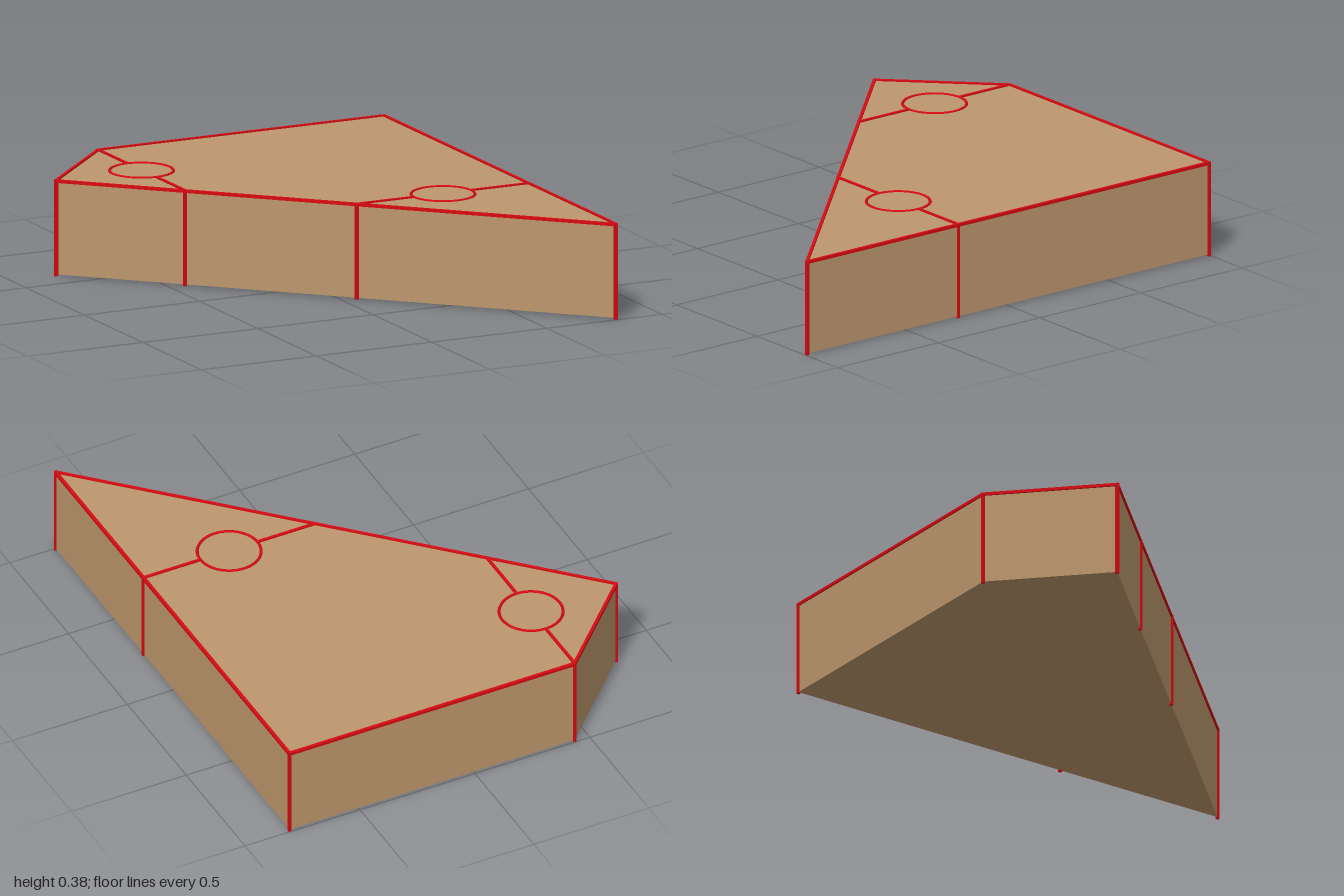
import * as THREE from 'three';

const wood = new THREE.MeshStandardMaterial({ color: 0xbd976d });
wood.name = 'tan wood';
const red = new THREE.MeshStandardMaterial({ color: 0xd80a12 });
red.name = 'red line';

const BOTTOM = 0.006, TOP = 0.378, LINE = 0.012, HOLE = 0.124;

// Outline corners and dimple centres as [x, z]
const corners = [[0.803, 0.993], [0.803, -0.993], [-0.436, -0.993], [-0.808, -0.62]];
const dimples = [[-0.437, -0.622], [0.431, 0.247]];

function add(parent, name, geometry, material) {
  const mesh = new THREE.Mesh(geometry, material);
  mesh.name = name;
  parent.add(mesh);
  return mesh;
}

// Square bar between two points, overlapping at its ends
function bar(parent, name, a, b, overlap = LINE) {
  const from = new THREE.Vector3(...a), to = new THREE.Vector3(...b);
  const mesh = add(parent, name, new THREE.BoxGeometry(LINE, LINE, from.distanceTo(to) + overlap), red);
  mesh.position.copy(from).add(to).multiplyScalar(0.5);
  mesh.lookAt(to);
}

function outline() {
  return new THREE.Shape(corners.map(([x, z]) => new THREE.Vector2(x, -z)));
}

export function createModel() {
  const model = new THREE.Group();
  model.name = 'wedgeBlock';

  // Top face with round openings, and closed underside
  const topShape = outline();
  for (const [x, z] of dimples) {
    topShape.holes.push(new THREE.Path().absarc(x, -z, HOLE, 0, Math.PI * 2, true));
  }
  const top = new THREE.ShapeGeometry(topShape, 48).rotateX(-Math.PI / 2).translate(0, TOP, 0);
  add(model, 'topFace', top, wood);
  const under = new THREE.ShapeGeometry(outline()).rotateX(-Math.PI / 2);
  under.setIndex(Array.from(under.index.array).reverse());
  under.attributes.normal.array.forEach((v, i, arr) => { arr[i] = -v; });
  add(model, 'underside', under.translate(0, BOTTOM, 0), wood);

  // Side walls, rim lines and corner lines
  corners.forEach(([x, z], i) => {
    const [nx, nz] = corners[(i + 1) % corners.length];
    const dx = nx - x, dz = nz - z;
    const wall = add(model, 'sideWall', new THREE.PlaneGeometry(Math.hypot(dx, dz), TOP - BOTTOM), wood);
    wall.position.set((x + nx) / 2, (TOP + BOTTOM) / 2, (z + nz) / 2);
    wall.rotation.y = Math.atan2(-dz, dx);
    bar(model, 'rimLine', [x, TOP, z], [nx, TOP, nz]);
    bar(model, 'cornerLine', [x, BOTTOM, z], [x, TOP, z]);
  });

  // Hemispherical dimples with red rims
  const profile = [];
  for (let i = 0; i <= 16; i++) {
    const t = (i / 16) * Math.PI / 2;
    profile.push(new THREE.Vector2(Math.max(HOLE * Math.cos(t), 0), -HOLE * Math.sin(t)));
  }
  for (const [x, z] of dimples) {
    add(model, 'dimple', new THREE.LatheGeometry(profile, 48), wood).position.set(x, TOP, z);
    const rim = add(model, 'dimpleRim', new THREE.TorusGeometry(HOLE, LINE / 2, 8, 48), red);
    rim.rotation.x = Math.PI / 2;
    rim.position.set(x, TOP, z);
  }

  // Seams across the top, stopping at the dimples
  const [[ax, az], [bx, bz]] = dimples;
  bar(model, 'backSeam', [ax, TOP, -0.993], [ax, TOP, az - HOLE], 0);
  bar(model, 'backSeam', [ax, TOP, az + HOLE], [ax, TOP, -0.249], 0);
  bar(model, 'frontSeam', [0.057, TOP, bz], [bx - HOLE, TOP, bz], 0);
  bar(model, 'frontSeam', [bx + HOLE, TOP, bz], [0.803, TOP, bz], 0);

  // Seams down the side walls
  for (const [x, z] of [[ax, -0.249], [0.057, bz], [0.803, bz]]) {
    bar(model, 'wallSeam', [x, BOTTOM, z], [x, TOP, z]);
  }
  return model;
}
